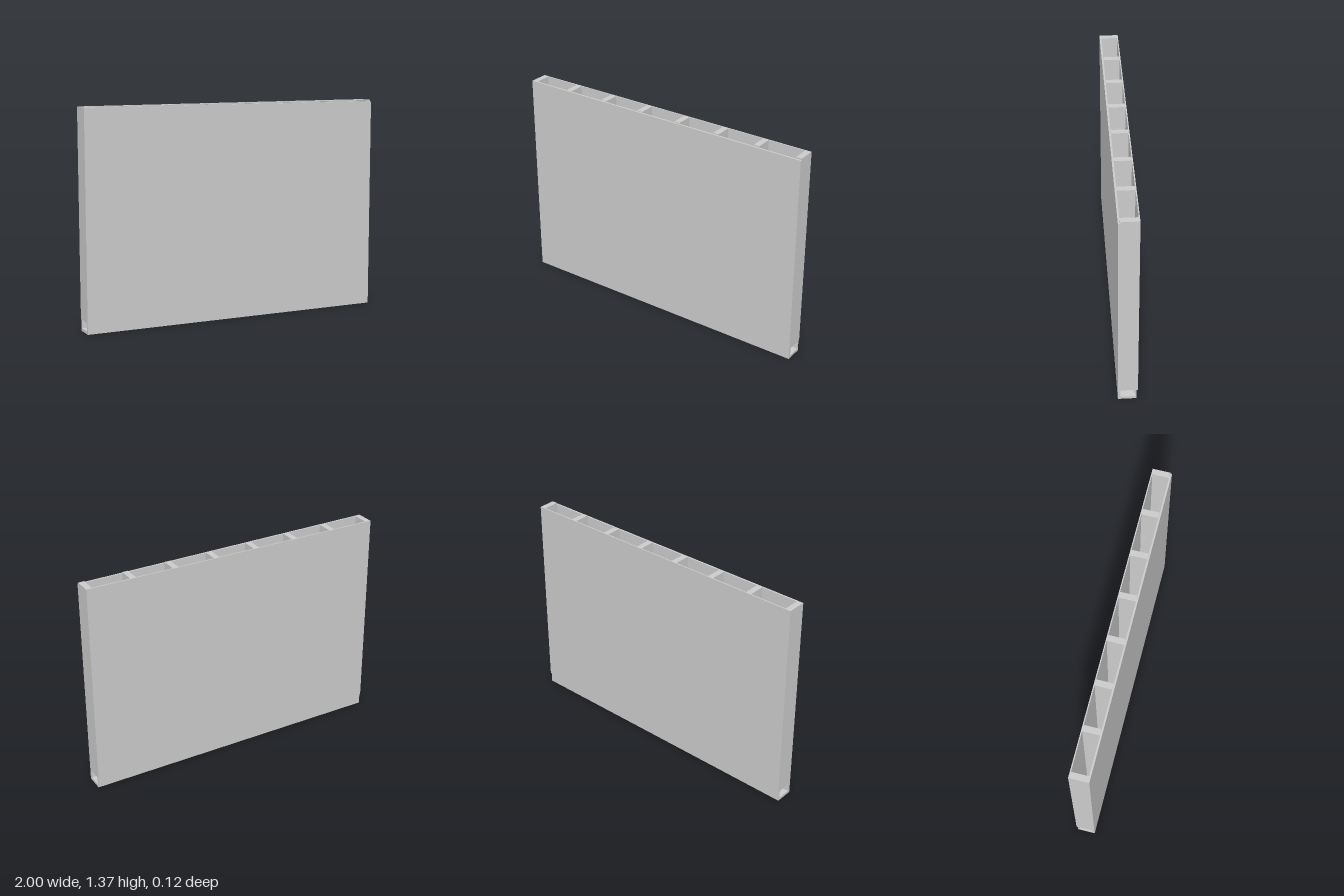
import * as THREE from 'three';

const H = 1.37, BASE = 0.072, Z = 0.061;
const BACK_IN = -0.054, FRONT_IN = 0.05;
const material = new THREE.MeshStandardMaterial({ color: 0xcccccc, flatShading: true });

export function createModel() {
  const group = new THREE.Group();

  // Box given by its minimum and maximum corners
  const box = (name, x0, x1, y0, y1, z0, z1) => {
    const mesh = new THREE.Mesh(new THREE.BoxGeometry(x1 - x0, y1 - y0, z1 - z0), material);
    mesh.position.set((x0 + x1) / 2, (y0 + y1) / 2, (z0 + z1) / 2);
    mesh.name = name;
    group.add(mesh);
  };

  // Front sheet reaches the ground; its top edge drops slightly towards +x
  const outline = new THREE.Shape([
    new THREE.Vector2(-1, 0),
    new THREE.Vector2(1, 0),
    new THREE.Vector2(1, H - 0.01),
    new THREE.Vector2(-1, H),
  ]);
  const front = new THREE.Mesh(
    new THREE.ExtrudeGeometry(outline, { depth: Z - FRONT_IN, bevelEnabled: false }), material);
  front.position.z = FRONT_IN;
  front.name = 'frontSheet';
  group.add(front);

  // Back sheet stops above the bottom channel
  box('backSheet', -1, 1, BASE, H, -Z, BACK_IN);

  // Evenly spaced studs between the sheets
  const studs = 8, width = 0.038;
  for (let i = 0; i < studs; i++) {
    const x = -1 + i * (2 - width) / (studs - 1);
    box('stud' + (i + 1), x, x + width, BASE, H, BACK_IN, FRONT_IN);
  }

  // U-shaped bottom channel, open at both ends
  box('channelFloor', -1, 1, 0, 0.018, BACK_IN + 0.001, FRONT_IN);
  box('channelBackWall', -1, 1, 0.018, BASE, BACK_IN + 0.001, -0.044);
  box('channelFrontWall', -1, 1, 0.018, BASE, 0.044, FRONT_IN);

  return group;
}
